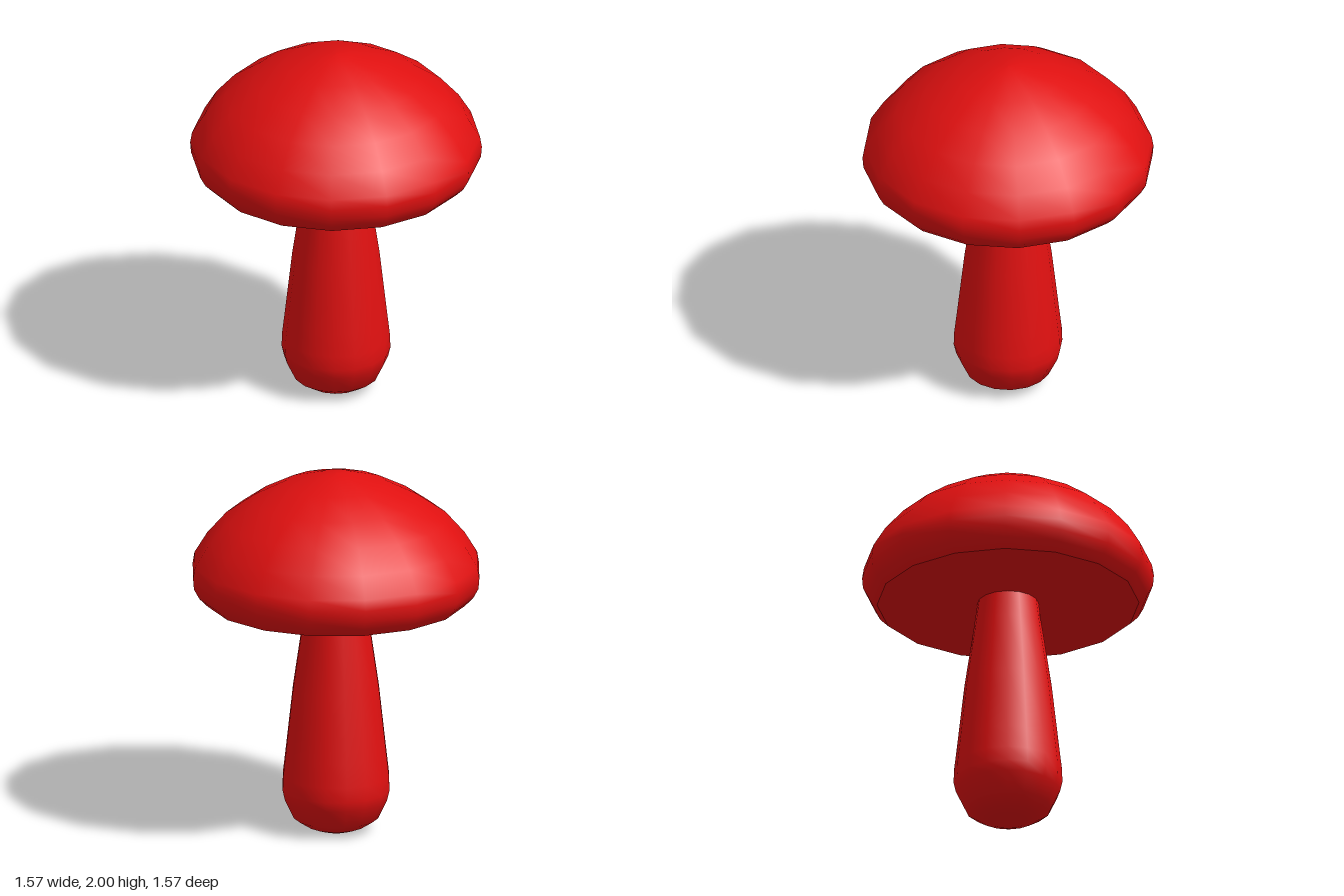
import * as THREE from 'three';

const SIDES = 16;

// Turned part from [radius, height] pairs, listed bottom to top.
function turned(name, profile, material) {
  const points = profile.map(([r, y]) => new THREE.Vector2(r, y));
  const mesh = new THREE.Mesh(new THREE.LatheGeometry(points, SIDES), material);
  mesh.name = name;
  return mesh;
}

export function createModel() {
  const group = new THREE.Group();
  group.name = 'mushroom';
  const red = new THREE.MeshStandardMaterial({ color: 0xe01010 });

  // Stem: rounded foot, tapering up into the cap
  group.add(turned('stem', [
    [0, 0], [0.1, 0.003], [0.16, 0.025], [0.23, 0.07], [0.28, 0.175],
    [0.293, 0.23], [0.29, 0.31], [0.275, 0.44], [0.235, 0.8],
    [0.185, 1.14], [0.165, 1.29],
  ], red));

  // Cap: domed top with a rolled rim
  group.add(turned('cap', [
    [0.705, 1.29], [0.75, 1.335], [0.78, 1.39], [0.785, 1.45], [0.775, 1.51],
    [0.705, 1.625], [0.6, 1.745], [0.45, 1.85], [0.275, 1.94], [0.085, 1.995], [0, 2],
  ], red));

  // Flat underside, with a crisp edge against the rim
  const underside = new THREE.Mesh(new THREE.CircleGeometry(0.705, SIDES), red);
  underside.name = 'capUnderside';
  underside.rotation.x = Math.PI / 2;
  underside.position.y = 1.29;
  group.add(underside);

  return group;
}
